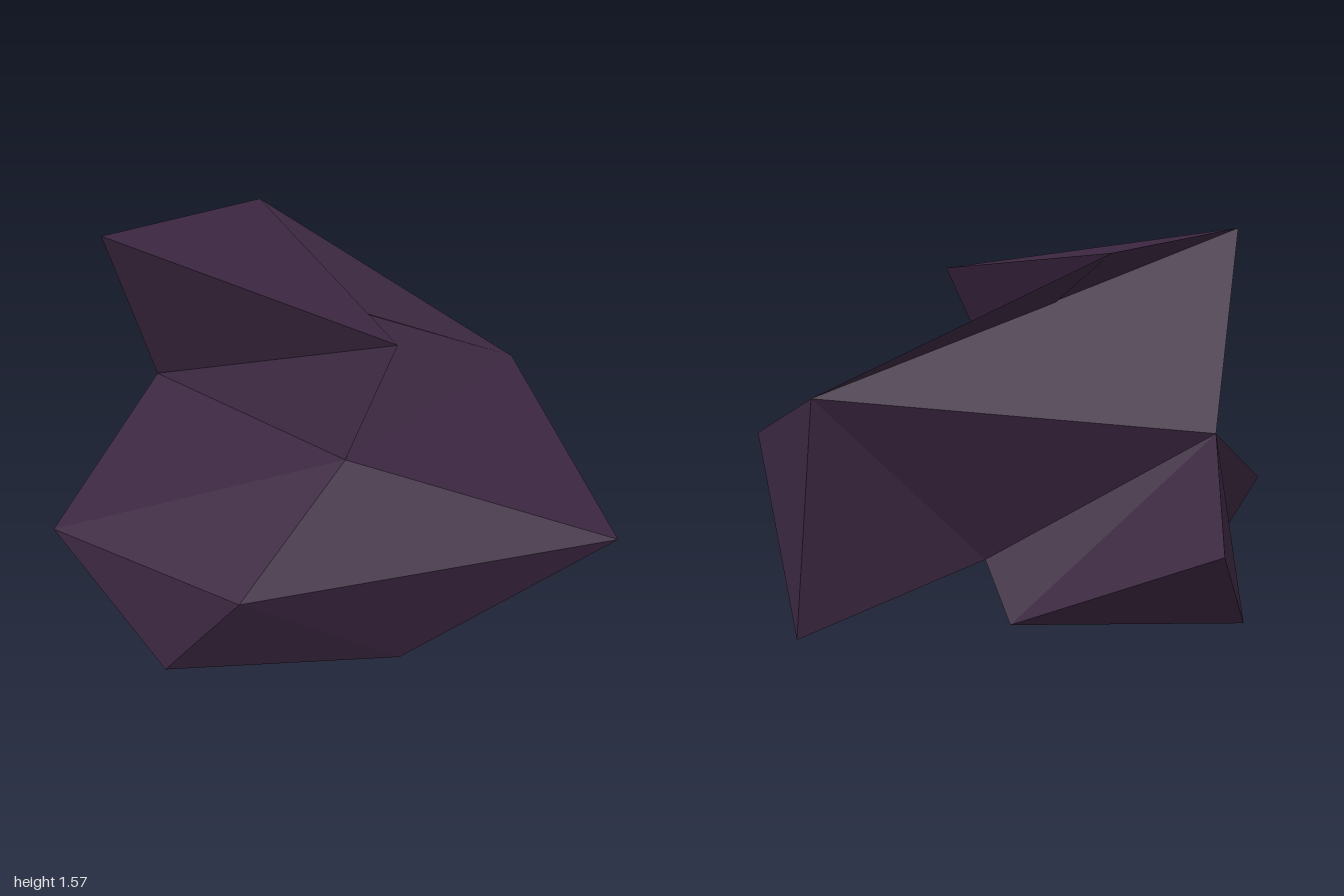
import * as THREE from 'three';

// Corner points of the faceted rock, grouped by region
const corners = {
  // overhanging crest
  A: [-0.66, 1.57, -0.415], B: [0.10, 1.535, -0.70], C: [0.125, 1.37, 0.535],
  // shoulders
  D: [-0.07, 0.955, 0.535], E: [0.915, 0.98, 0.05], O: [-0.40, 0.84, -0.655],
  // waist
  F: [0.83, 0.65, 0.98], H: [-0.55, 0.565, 0.70], I: [-1.0, 0.48, -0.18],
  // base rim
  G: [0.995, 0.04, 0.09], K: [0.12, 0.10, 0.655], J: [-0.745, 0.125, 0.40],
  // joint between the body and the rear foot
  X: [0.23, 0.26, 0.0], V: [-0.78, 0.205, -0.18],
  // rear foot
  N: [-0.205, 0.485, -0.98], L: [-0.66, 0.0, -0.537], M: [0.22, 0.045, -0.19],
};

// Facets of each part, counter-clockwise from outside; the body is hollow below
const parts = {
  crest: 'ACB CDB DEB ABE AEO AOC COD',
  body: 'DOI DIH DHF DFE EFG GFK FHK KHJ HIJ IOV IVJ EGX EXO',
  rearFoot: 'OXM OMN ONL OLV NML XVL XLM',
};

function facetGeometry(facets) {
  const points = [...facets.replaceAll(' ', '')].flatMap((key) => corners[key]);
  const geometry = new THREE.BufferGeometry();
  geometry.setAttribute('position', new THREE.Float32BufferAttribute(points, 3));
  geometry.computeVertexNormals();
  return geometry;
}

export function createModel() {
  const stone = new THREE.MeshStandardMaterial({ color: 0x3b2740, side: THREE.DoubleSide });
  stone.name = 'dark purple stone';
  stone.flatShading = true;

  const rock = new THREE.Group();
  rock.name = 'rock';
  for (const [name, facets] of Object.entries(parts)) {
    const mesh = new THREE.Mesh(facetGeometry(facets), stone);
    mesh.name = name;
    rock.add(mesh);
  }
  return rock;
}
